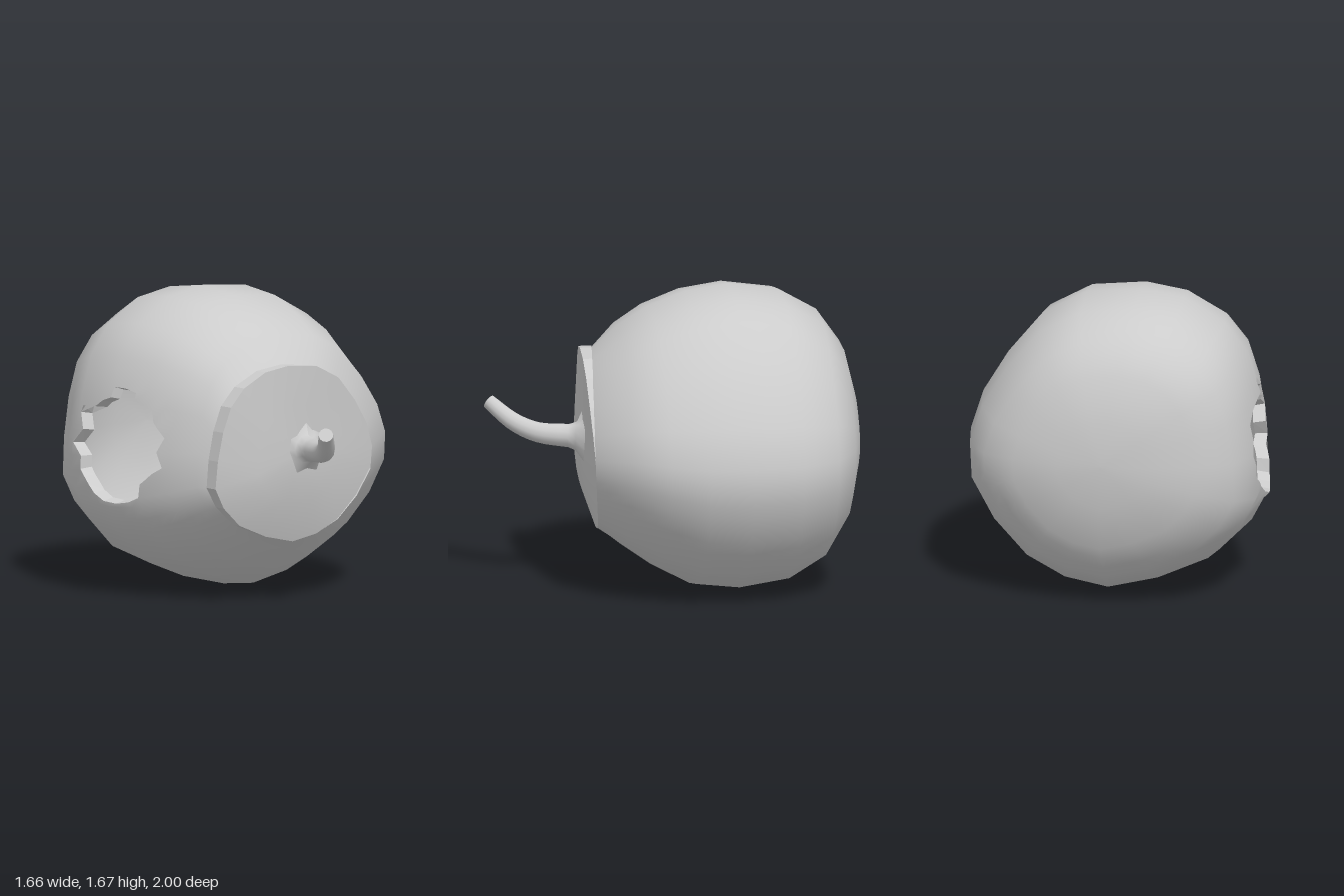
import * as THREE from 'three';

const grey = new THREE.MeshStandardMaterial({ color: 0xcccccc });
const flat = new THREE.MeshStandardMaterial({ color: 0xcccccc, flatShading: true });

// Lopsided cross-section shared by the body and the lid, scaled to about -1..1
const SECTION = [
  [.83, .83], [.76, 1.05], [.62, 1.28], [.43, 1.51], [.19, 1.64], [-.12, 1.67], [-.36, 1.63],
  [-.58, 1.5], [-.71, 1.33], [-.78, 1.1], [-.82, .83], [-.83, .57], [-.73, .38], [-.55, .2],
  [-.26, .07], [.03, 0], [.28, .05], [.5, .17], [.69, .38], [.82, .62],
].map(([x, y]) => [x / .83, (y - .835) / .835]);
const N = SECTION.length;

// One loop of points; zAt gives the depth for each direction
function loop(x0, x1, y0, y1, zAt) {
  return SECTION.map(([px, py]) => new THREE.Vector3(
    (x0 + x1) / 2 + px * (x1 - x0) / 2, (y0 + y1) / 2 + py * (y1 - y0) / 2, zAt(px, py)));
}

// Closed-around surface through loops, listed front to back
function loft(loops) {
  const n = loops[0].length, index = [];
  for (let i = 0; i < loops.length - 1; i++) for (let j = 0; j < n; j++) {
    const a = i * n + j, b = i * n + (j + 1) % n;
    index.push(a, a + n, b, b, a + n, b + n);
  }
  const g = new THREE.BufferGeometry().setFromPoints(loops.flat());
  g.setIndex(index);
  g.computeVertexNormals();
  return g;
}

function addMesh(parent, name, geometry, material) {
  const m = new THREE.Mesh(geometry, material);
  m.name = name;
  parent.add(m);
  return m;
}

// Hollow body with a ragged hole broken through its -x side
function makeBody() {
  const SUB = 3, WALL = .07;
  const hole = { y: .85, z: -.27, ry: .29, rz: .33 };
  const loops = [
    [-.63, .4, .33, 1.31, .42, .08, .02], [-.67, .64, .26, 1.46, .3, .03, 0],
    [-.745, .745, .14, 1.56, .13, 0, 0], [-.79, .81, .03, 1.64, -.08, 0, 0],
    [-.83, .83, 0, 1.67, -.32, 0, 0], [-.8, .79, .04, 1.63, -.6, 0, 0],
    [-.71, .68, .16, 1.51, -.81, 0, 0], [-.51, .5, .35, 1.34, -.93, 0, 0],
    [-.25, .25, .6, 1.09, -.995, 0, 0], [0, 0, .84, .84, -1, 0, 0],
  ].map(([x0, x1, y0, y1, z, tx, ty]) => loop(x0, x1, y0, y1, (px, py) => z + tx * px + ty * py));
  const normals = loft(loops).attributes.normal;
  const normalAt = (i, j) => new THREE.Vector3().fromBufferAttribute(normals, i * N + j);
  const blend = (get, i, j, u, v) => {
    const i2 = Math.min(i + 1, loops.length - 1), j2 = (j + 1) % N;
    const p = get(i, j).clone().lerp(get(i, j2), v);
    return p.lerp(get(i2, j).clone().lerp(get(i2, j2), v), u);
  };

  // Finer grid lying on the same facets
  const R = (loops.length - 1) * SUB, C = N * SUB, grid = [];
  for (let r = 0; r <= R; r++) {
    grid.push([]);
    for (let c = 0; c < C; c++) {
      const i = Math.floor(r / SUB), j = Math.floor(c / SUB), u = r / SUB - i, v = c / SUB - j;
      const p = blend((a, b) => loops[a][b], i, j, u, v);
      const n = blend(normalAt, i, j, u, v).normalize();
      grid[r].push({ p, n, q: p.clone().addScaledVector(n, -WALL) });
    }
  }
  const at = (r, c) => grid[r][(c + C) % C];
  const corners = (r, c) => [at(r, c), at(r + 1, c), at(r + 1, c + 1), at(r, c + 1)];
  const keep = grid.slice(0, R).map((_, r) => grid[r].map((_, c) => {
    const m = new THREE.Vector3();
    corners(r, c).forEach(k => m.addScaledVector(k.p, .25));
    return m.x > 0 || Math.hypot((m.y - hole.y) / hole.ry, (m.z - hole.z) / hole.rz) > 1;
  }));
  const kept = (r, c) => r >= R || (r >= 0 && keep[r][(c + C) % C]);

  // Pull the hole's border to a ragged outline
  for (let r = 1; r < R; r++) for (let c = 0; c < C; c++) {
    const around = [kept(r, c), kept(r - 1, c), kept(r, c - 1), kept(r - 1, c - 1)];
    if (around.every(Boolean) || !around.some(Boolean)) continue;
    const { p, q } = at(r, c), dy = p.y - hole.y, dz = p.z - hole.z;
    const rho = Math.hypot(dy / hole.ry, dz / hole.rz);
    const k = (1 + .1 * Math.sin(r * 12.9 + c * 78.2)) / rho - 1;
    for (const s of [p, q]) { s.y += dy * k; s.z += dz * k; }
  }

  const skin = { pos: [], nor: [] }, lining = { pos: [], nor: [] }, rim = [];
  const put = (t, point, normal) => { t.pos.push(...point); t.nor.push(...normal); };
  for (let r = 0; r < R; r++) for (let c = 0; c < C; c++) {
    if (!keep[r][c]) continue;
    const k = corners(r, c);
    for (const s of [0, 1, 2, 0, 2, 3]) put(skin, k[s].p, k[s].n);
    for (const s of [0, 2, 1, 0, 3, 2]) put(lining, k[s].q, k[s].n.clone().negate());
    [kept(r, c - 1), kept(r + 1, c), kept(r, c + 1), kept(r - 1, c)].forEach((solid, e) => {
      if (solid) return;
      const a = k[e], b = k[(e + 1) % 4];
      for (const v of [a.q, b.q, b.p, a.q, b.p, a.p]) rim.push(...v);
    });
  }
  const geo = (pos, nor) => {
    const g = new THREE.BufferGeometry();
    g.setAttribute('position', new THREE.Float32BufferAttribute(pos, 3));
    if (nor) g.setAttribute('normal', new THREE.Float32BufferAttribute(nor, 3));
    else g.computeVertexNormals();
    return g;
  };
  const body = new THREE.Group();
  body.name = 'body';
  addMesh(body, 'skin', geo(skin.pos, skin.nor), grey);
  addMesh(body, 'innerWall', geo(lining.pos, lining.nor), grey);
  addMesh(body, 'brokenRim', geo(rim), flat);
  return body;
}

// Slightly domed, tilted lid closing the front opening
function makeLid() {
  const scaled = (s, zAt) => loop(-.12 - .52 * s, -.12 + .52 * s, .825 - .495 * s, .825 + .495 * s, zAt);
  const front = (px, py) => .455 + .045 * px + .04 * py;
  const back = (px, py) => front(px, py) - (.045 - .035 * px + .015 * py);
  const lid = new THREE.Group();
  lid.name = 'lid';
  const edge = scaled(1, front), under = scaled(1, back);
  addMesh(lid, 'lidFace', loft([scaled(0, () => .5), scaled(.55, (x, y) => .495 + .008 * x), edge]), grey);
  addMesh(lid, 'lidEdge', loft([edge, under]), flat);
  addMesh(lid, 'lidUnderside', loft([under, scaled(0, () => .43)]), grey);
  return lid;
}

// Curved tapering stem with an irregular flared foot
function makeStem() {
  const SEG = 14, RAD = 12;
  const path = new THREE.CatmullRomCurve3([
    [-.07, .85, .485], [-.1, .855, .6], [-.15, .865, .73], [-.23, .91, .85], [-.335, 1.005, .972],
  ].map(p => new THREE.Vector3(...p)));
  const g = new THREE.TubeGeometry(path, SEG, 1, RAD, false);
  const pos = g.attributes.position, v = new THREE.Vector3();
  for (let k = 0; k < pos.count; k++) {
    const i = Math.floor(k / (RAD + 1)), j = k % (RAD + 1) % RAD, t = i / SEG;
    const c = path.getPointAt(t);
    const foot = .14 + .022 * Math.cos(j * Math.PI * 5 / 6);
    const radius = i === 0 ? foot : i === 1 ? .082 : .07 - .03 * t;
    v.fromBufferAttribute(pos, k).sub(c).multiplyScalar(radius).add(c);
    if (i === 0) v.z = .49;
    pos.setXYZ(k, v.x, v.y, v.z);
  }
  g.computeVertexNormals();
  const stem = new THREE.Group();
  stem.name = 'stem';
  addMesh(stem, 'stalk', g, grey);
  const tip = addMesh(stem, 'stalkTip', new THREE.CircleGeometry(.04, RAD), grey);
  tip.position.copy(path.getPointAt(1));
  tip.quaternion.setFromUnitVectors(new THREE.Vector3(0, 0, 1), path.getTangentAt(1));
  return stem;
}

export function createModel() {
  const model = new THREE.Group();
  model.name = 'hollowGourd';
  model.add(makeBody(), makeLid(), makeStem());
  return model;
}
